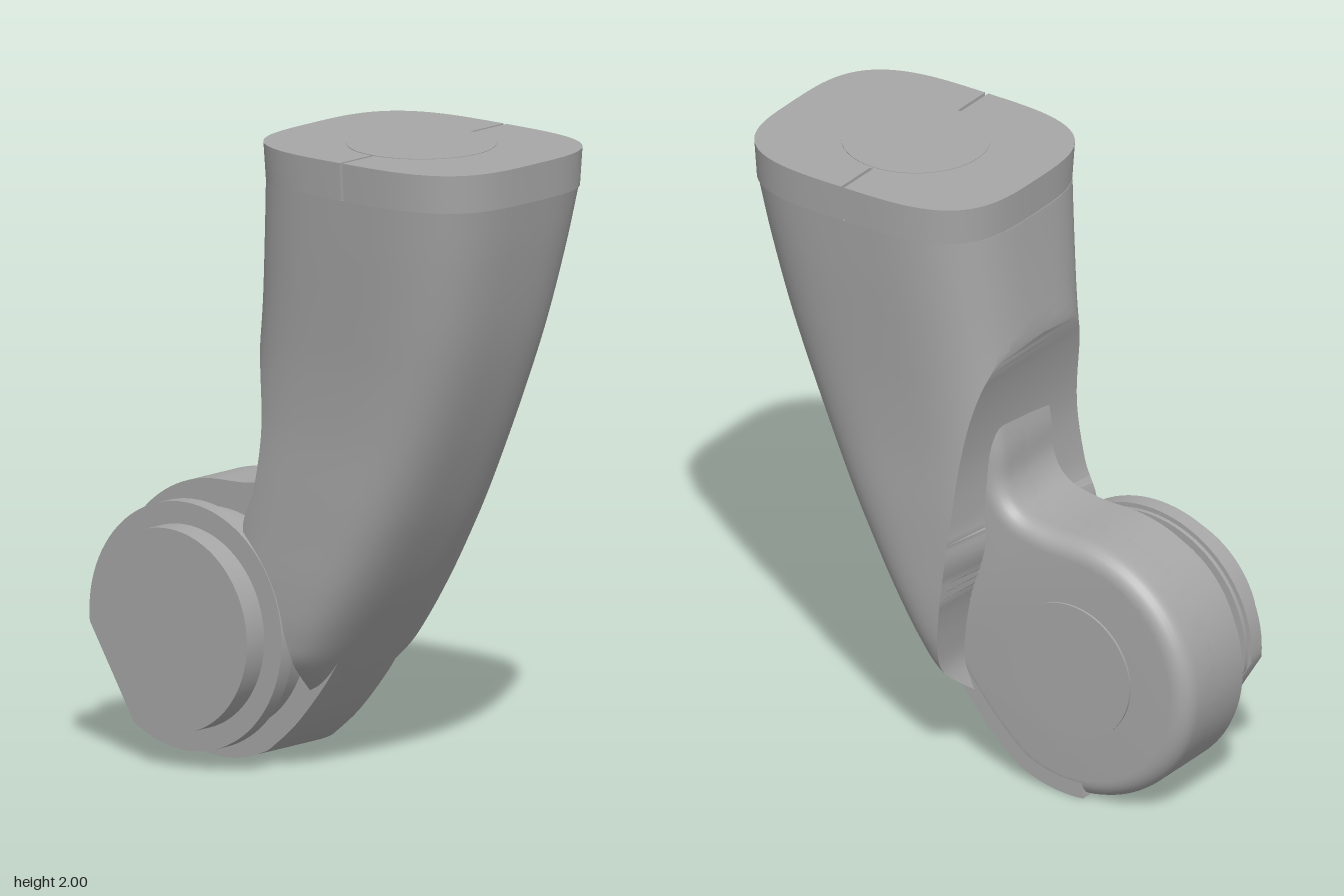
import * as THREE from 'three';
import { toCreasedNormals } from 'three/addons/utils/BufferGeometryUtils.js';

const JX = -0.362, JY = 0.437, JR = 0.435; // joint axis, along z, and knuckle radius
const CREASE = 0.6;

export function createModel() {
  const group = new THREE.Group();
  const grey = new THREE.MeshStandardMaterial({ color: 0xa6a6a6 });
  grey.name = 'grey';

  const add = (name, geometry) => {
    const mesh = new THREE.Mesh(toCreasedNormals(geometry, CREASE), grey);
    mesh.name = name;
    group.add(mesh);
  };
  const extrude = (points, z0, z1, bevel = 0) => {
    const g = new THREE.ExtrudeGeometry(new THREE.Shape(points), {
      depth: z1 - z0 - 2 * bevel, bevelEnabled: bevel > 0, bevelSize: bevel,
      bevelThickness: bevel, bevelOffset: -bevel, bevelSegments: 6,
    });
    return g.translate(0, 0, z0 + bevel);
  };
  const spline = (points, n) => new THREE.SplineCurve(points.map((p) => new THREE.Vector2(...p))).getPoints(n);
  const arc = (r, from, to, n = 64) => Array.from({ length: n + 1 }, (_, i) => {
    const a = THREE.MathUtils.degToRad(from + (to - from) * i / n);
    return new THREE.Vector2(JX + r * Math.cos(a), JY + r * Math.sin(a));
  });
  const power = (c, e) => Math.sign(c) * Math.abs(c) ** e;

  // Arm: rounded-rectangle sections, trimmed on the inner side around the joint
  // Each row: y, inner x, outer x, half depth, trim x at the front, trim x at the back
  const N = 3.4, CZ = -0.007;
  const rows = [
    [1.88, -0.122, 0.778, 0.376, -0.4, -0.4],
    [1.70, -0.135, 0.738, 0.36, -0.27, -0.26],
    [1.48, -0.155, 0.68, 0.338, -0.155, -0.145],
    [1.30, -0.18, 0.62, 0.322, -0.1, -0.085],
    [1.10, -0.21, 0.54, 0.312, -0.075, -0.045],
    [0.90, -0.25, 0.448, 0.312, -0.1, -0.02],
    [0.76, -0.28, 0.375, 0.312, -0.145, 0.0],
    [0.60, -0.30, 0.282, 0.312, -0.02, 0.02],
    [0.45, -0.30, 0.184, 0.303, 0.03, 0.035],
    [0.35, -0.29, 0.113, 0.274, 0.035, 0.035],
    [0.26, -0.25, 0.045, 0.165, 0.0, 0.0],
  ];
  const columns = [1, 2, 3, 4, 5].map((c) => new THREE.SplineCurve(rows.map((r) => new THREE.Vector2(r[c], r[0]))));
  const STEPS = 60, SIDES = 96, ring = SIDES + 1;
  const pos = [], idx = [];
  for (let i = 0; i <= STEPS; i++) {
    const [inner, outer, depth, front, back] = columns.map((c) => c.getPoint(i / STEPS).x);
    const y = columns[0].getPoint(i / STEPS).y;
    const cx = (inner + outer) / 2, rx = (outer - inner) / 2;
    const limit = (trim) => Math.acos(power(Math.max(-1, (trim - cx) / rx), N / 2));
    const aFront = limit(front), aBack = -limit(back);
    for (let j = 0; j <= SIDES; j++) {
      const a = THREE.MathUtils.clamp((2 * j / SIDES - 1) * Math.PI, aBack, aFront);
      pos.push(cx + rx * power(Math.cos(a), 2 / N), y, CZ + depth * power(Math.sin(a), 2 / N));
    }
  }
  for (let i = 0; i < STEPS; i++) {
    for (let j = 0; j < ring; j++) {
      const k = (j + 1) % ring, a = i * ring, b = a + ring;
      idx.push(a + j, a + k, b + k, a + j, b + k, b + j);
    }
  }
  const top = pos.length / 3, last = STEPS * ring;
  pos.push(0.32, 1.88, CZ, 0.02, 0.26, CZ);
  for (let j = 0; j < ring; j++) {
    const k = (j + 1) % ring;
    idx.push(top, k, j, top + 1, last + j, last + k);
  }
  const armGeometry = new THREE.BufferGeometry();
  armGeometry.setAttribute('position', new THREE.Float32BufferAttribute(pos, 3));
  armGeometry.setIndex(idx);
  add('arm', armGeometry);

  // End collar with a slit front and back, tapering slightly to the arm
  const CX = 0.3305, RX = 0.4575, RZ = 0.386, slit = 0.006;
  const outline = [];
  for (let i = 0; i < 96; i++) {
    const a = (i / 96) * Math.PI * 2;
    if (i === 24 || i === 72) {
      const s = i === 24 ? 1 : -1;
      outline.push(...[[s, RZ], [s, RZ - 0.155], [-s, RZ - 0.155], [-s, RZ]]
        .map(([side, z]) => new THREE.Vector2(CX + side * slit, CZ + s * z)));
    } else {
      outline.push(new THREE.Vector2(CX + RX * power(Math.cos(a), 2 / N), CZ + RZ * power(Math.sin(a), 2 / N)));
    }
  }
  const collar = extrude(outline, 0, 0.12).rotateX(Math.PI / 2).translate(0, 2, 0);
  const p = collar.attributes.position;
  for (let i = 0; i < p.count; i++) {
    const scale = 1 - 0.016 * (2 - p.getY(i)) / 0.12;
    p.setX(i, CX + (p.getX(i) - CX) * scale);
    p.setZ(i, CZ + (p.getZ(i) - CZ) * scale);
  }
  add('endCollar', collar);
  add('endDisc', new THREE.CylinderGeometry(0.23, 0.23, 0.01, 64).translate(CX, 1.997, 0));

  // Joint knuckle: round eye blending up into the arm
  const lower = spline([[-0.16, 0.054], [-0.06, 0.14], [0.045, 0.262], [0.11, 0.355], [0.17, 0.45]], 20);
  const blend = spline([[0.0, 1.35], [-0.05, 1.22], [-0.078, 1.1], [-0.09, 0.98],
    [-0.145, 0.905], [-0.25, 0.877], [JX, JY + JR]], 36);
  const knuckle = [...lower, new THREE.Vector2(0.28, 0.75), new THREE.Vector2(0.33, 1.2),
    ...blend, ...arc(JR, 92, 296)];
  add('knuckleBack', extrude(knuckle, -0.158, 0.06, 0.06));
  add('knuckleFront', extrude(knuckle, -0.09, 0.142));
  // Square-edged underside of the knuckle
  add('knuckleKeel', extrude([...arc(JR, 264, 296, 16), ...lower,
    new THREE.Vector2(0.1, 0.6), new THREE.Vector2(JX, JY)], -0.157, 0.1));

  // Pivot parts stacked along the joint axis
  const pivot = (name, r, z0, z1) => add(name, new THREE.CylinderGeometry(r, r, z1 - z0, 72)
    .rotateX(Math.PI / 2).translate(JX, JY, (z0 + z1) / 2));
  const flatSided = (name, r, half, z0, z1) =>
    add(name, extrude(arc(r, 211.5 + half, 571.5 - half, 80), z0, z1));
  pivot('backDisc', 0.225, -0.165, -0.15);
  pivot('pivotNeck', 0.349, 0.13, 0.25);
  flatSided('flangeStep', 0.375, 22, 0.24, 0.256);
  flatSided('flange', 0.39, 26, 0.254, 0.308);
  flatSided('frontCap', 0.32, 48, 0.3, 0.39);

  return group;
}
